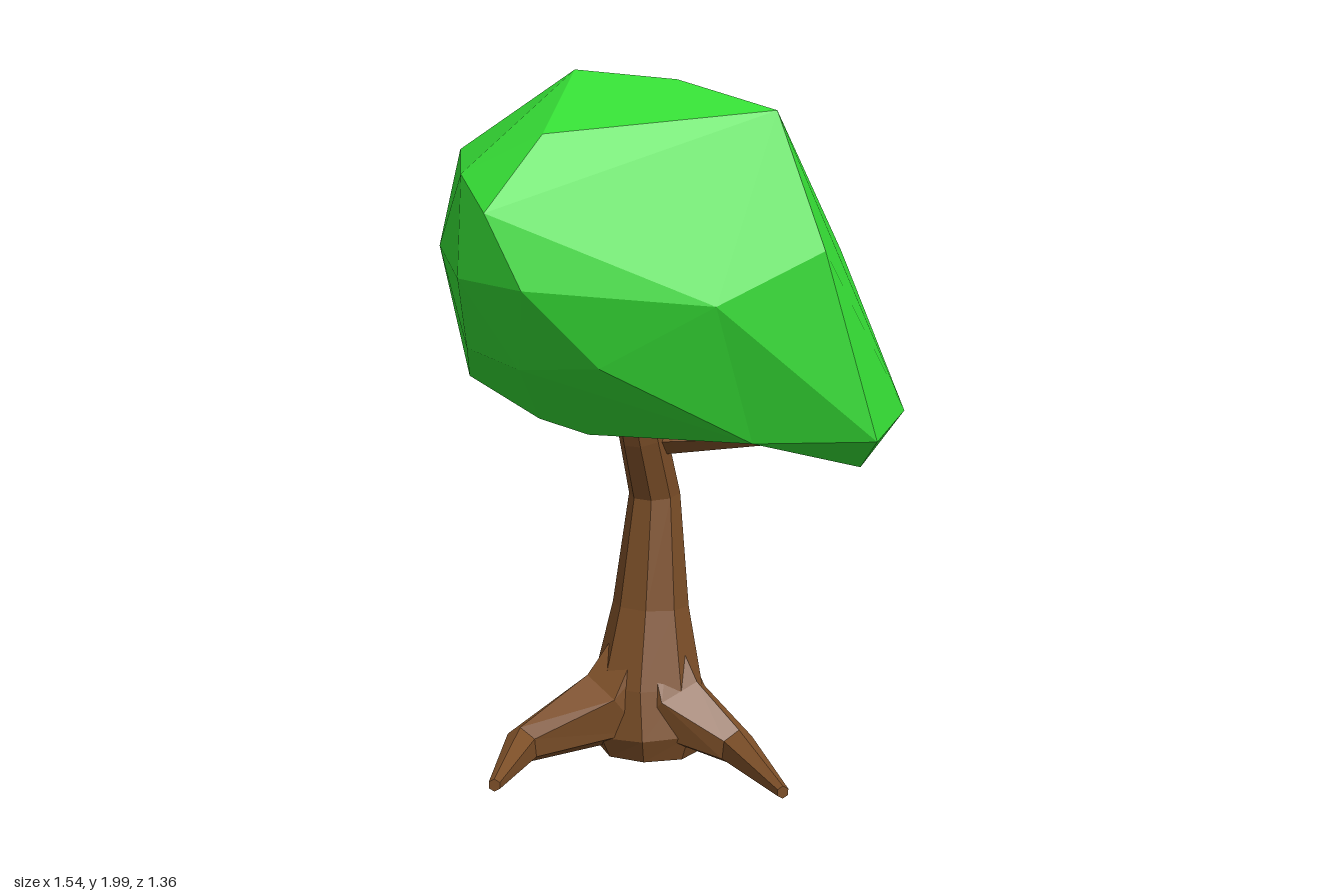
import * as THREE from 'three';
import { ConvexGeometry } from 'three/addons/geometries/ConvexGeometry.js';

const bark = new THREE.MeshStandardMaterial({ color: 0x7e5029, flatShading: true });
const leaf = new THREE.MeshStandardMaterial({ color: 0x36e036, flatShading: true });

// Faceted limb through stations [x, y, z, radius], closed at both ends
function limb(name, stations, sides, ref) {
  const pts = stations.map(s => new THREE.Vector3(s[0], s[1], s[2]));
  const rings = pts.map((p, k) => {
    const t = pts[Math.min(k + 1, pts.length - 1)].clone().sub(pts[Math.max(k - 1, 0)]).normalize();
    const u = ref.clone().cross(t).normalize();
    const v = t.clone().cross(u);
    return Array.from({ length: sides }, (_, i) => {
      const a = ((i + 0.5) / sides) * Math.PI * 2;
      return p.clone()
        .addScaledVector(u, Math.cos(a) * stations[k][3])
        .addScaledVector(v, Math.sin(a) * stations[k][3]);
    });
  });
  const tris = [];
  const last = rings.length - 1;
  for (let i = 0; i < sides; i++) {
    const j = (i + 1) % sides;
    for (let k = 0; k < last; k++) {
      const a = rings[k], b = rings[k + 1];
      tris.push(a[i], a[j], b[j], a[i], b[j], b[i]);
    }
    tris.push(pts[0], rings[0][j], rings[0][i]);
    tris.push(pts[last], rings[last][i], rings[last][j]);
  }
  const geo = new THREE.BufferGeometry().setFromPoints(tris);
  geo.computeVertexNormals();
  const mesh = new THREE.Mesh(geo, bark);
  mesh.name = name;
  return mesh;
}

// Faceted leaf mass spanned by its corner points
function foliage(name, corners) {
  const mesh = new THREE.Mesh(new ConvexGeometry(corners.map(c => new THREE.Vector3(...c))), leaf);
  mesh.name = name;
  return mesh;
}

export function createModel() {
  const tree = new THREE.Group();
  tree.name = 'tree';
  const up = new THREE.Vector3(0, 1, 0);
  const front = new THREE.Vector3(0, 0, 1);

  // Trunk, bending forward under the crown
  tree.add(limb('trunk', [
    [-0.04, 0.015, -0.08, 0.15], [-0.04, 0.08, -0.08, 0.18], [-0.05, 0.22, -0.08, 0.16],
    [-0.045, 0.45, -0.09, 0.112], [-0.035, 0.78, -0.095, 0.075],
    [-0.03, 0.96, -0.02, 0.07], [-0.03, 1.15, 0.05, 0.06],
  ], 8, front));

  // Three roots flaring out of the trunk: shoulder, knee, then a bent tapering toe
  const roots = [
    { shoulder: [-0.12, 0.15, 0.0], knee: [-0.29, 0.065, 0.23], tip: [-0.16, 0.06, 0.57] },
    { shoulder: [0.03, 0.15, -0.075], knee: [0.26, 0.065, -0.06], tip: [0.54, 0.05, 0.2] },
    { shoulder: [-0.13, 0.15, -0.15], knee: [-0.38, 0.065, -0.37], tip: [-0.425, 0.035, -0.68] },
  ];
  for (const r of roots) {
    tree.add(limb('root', [
      [-0.045, 0.38, -0.085, 0.08], [...r.shoulder, 0.13], [...r.knee, 0.056], [...r.tip, 0.018],
    ], 6, up));
  }

  // Thin side branch
  tree.add(limb('branch', [
    [-0.03, 0.94, -0.05, 0.042], [0.06, 0.95, -0.06, 0.04],
    [0.24, 0.965, -0.09, 0.028], [0.415, 0.97, -0.15, 0.01],
  ], 5, up));

  // Crown corners that both leaf masses share
  const shared = [
    [0.49, 1.9, 0.17], [0.34, 1.81, -0.19], [0.5, 1.5, -0.21], [0.4, 1.53, -0.29],
    [0.31, 1.38, -0.32], [0.43, 1.1, -0.15], [0.44, 1.4, 0.41], [0.47, 1.02, 0.26],
  ];
  tree.add(foliage('crown', [
    ...shared,
    // top
    [-0.18, 2.0, 0.1], [0.12, 1.975, 0.05], [-0.68, 1.76, -0.06], [0.05, 1.88, -0.43],
    // front
    [-0.02, 1.84, 0.52], [-0.26, 1.73, 0.55], [-0.1, 1.64, 0.68], [0, 1.44, 0.66],
    [-0.22, 1.46, 0.63], [-0.57, 1.5, 0.21], [-0.35, 1.24, 0.4], [-0.1, 1.21, 0.52], [0.15, 1.23, 0.52],
    // back
    [-0.31, 1.64, -0.43], [0, 1.58, -0.58], [0.1, 1.38, -0.575], [0.21, 1.62, -0.46],
    [-0.18, 1.35, -0.54], [-0.77, 1.26, -0.33],
    // underside
    [-0.67, 1.08, -0.08], [-0.32, 1.0, 0.08], [-0.34, 1.01, -0.2], [-0.08, 0.99, 0.2],
    [0.02, 1.13, -0.39], [0.11, 1.21, -0.36], [0.12, 0.99, -0.15],
  ]));
  // Drooping side mass, leaving a cleft at the back
  tree.add(foliage('sideCrown', [
    ...shared,
    [0.66, 1.54, 0.22], [0.77, 1.03, 0.12], [0.74, 1.08, -0.12], [0.68, 0.94, 0.03],
    [0.2, 1.02, 0.05], [0.1, 1.4, 0.1],
  ]));
  return tree;
}
